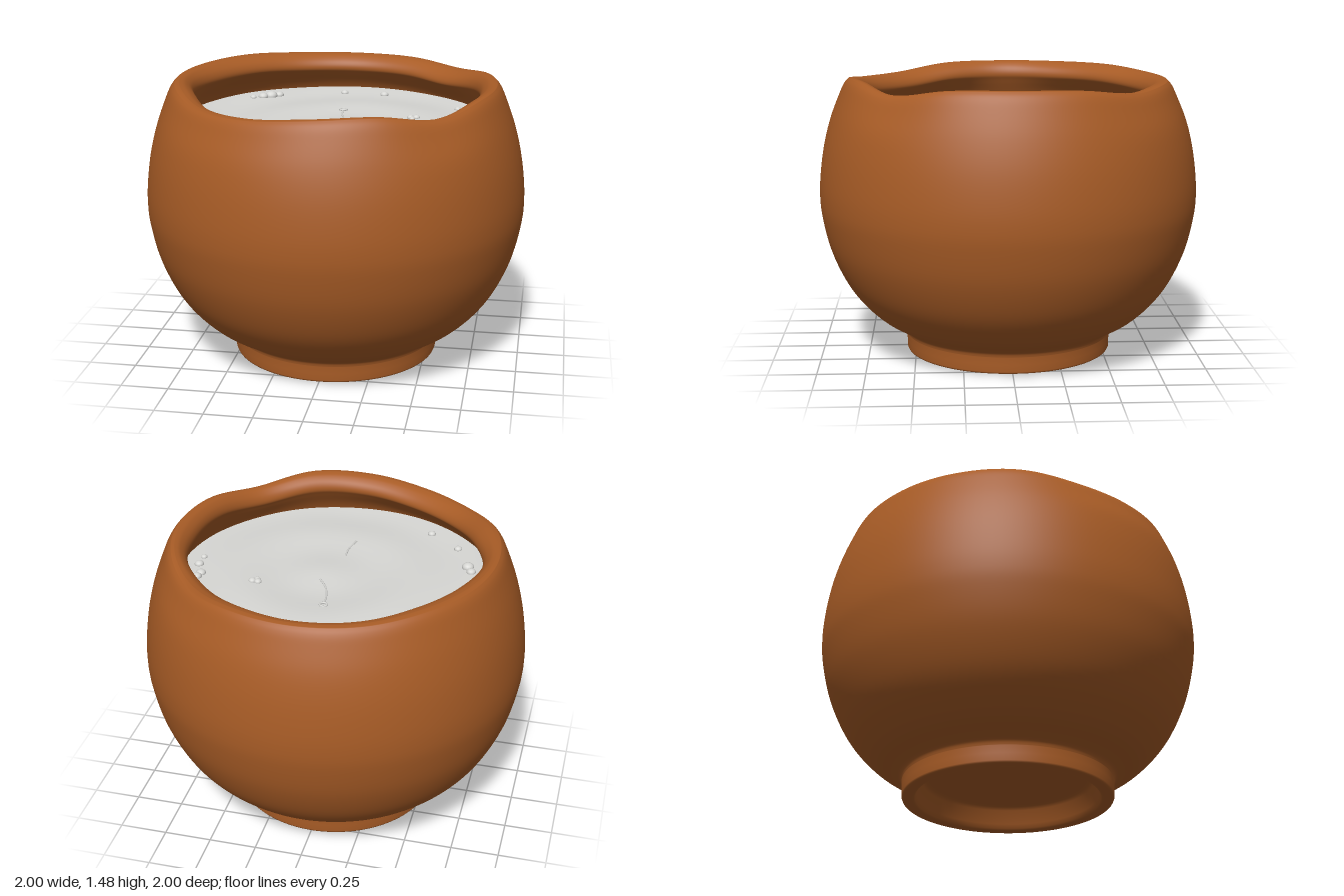
import * as THREE from 'three';
import { mergeVertices } from 'three/addons/utils/BufferGeometryUtils.js';

const LIQUID_Y = 1.26;

// Rim height and mouth radius at 16 directions, from +x turning towards +z
const RIM_HEIGHT = [1.49, 1.485, 1.445, 1.487, 1.477, 1.452, 1.45, 1.485, 1.49, 1.49, 1.488, 1.472, 1.467, 1.465, 1.45, 1.483];
const MOUTH_RADIUS = [0.75, 0.76, 0.762, 0.745, 0.735, 0.728, 0.728, 0.727, 0.755, 0.728, 0.72, 0.73, 0.735, 0.725, 0.72, 0.757];

// Smooth closed interpolation of a table by angle
function around(table, angle) {
  const n = table.length;
  const t = ((angle / (2 * Math.PI)) * n + n) % n;
  const i = Math.floor(t), f = t - i;
  const p = (k) => table[(i + k + n) % n];
  const a = p(-1), b = p(0), c = p(1), d = p(2);
  return b + 0.5 * f * (c - a + f * (2 * a - 5 * b + 4 * c - d + f * (3 * (b - c) + d - a)));
}

const points = (list) => list.map(([x, y]) => new THREE.Vector2(x, y));
const spline = (list, n) => new THREE.SplineCurve(points(list)).getPoints(n);

// Lathe, then move its vertices by a rule and weld the seam
function turned(profile, segments, rule) {
  const geo = new THREE.LatheGeometry(profile, segments);
  const pos = geo.attributes.position;
  const v = new THREE.Vector3();
  for (let i = 0; i < pos.count; i++) {
    v.fromBufferAttribute(pos, i);
    rule(v);
    pos.setXYZ(i, v.x, v.y, v.z);
  }
  geo.deleteAttribute('uv');
  geo.deleteAttribute('normal');
  const welded = mergeVertices(geo, 1e-5);
  welded.computeVertexNormals();
  return welded;
}

// Thick-walled pot with hollow foot and uneven rim
function potGeometry() {
  const foot = points([
    [0, 0.13], [0.2, 0.13], [0.41, 0.13], [0.43, 0.125], [0.445, 0.11], [0.47, 0.04], [0.478, 0.018],
    [0.487, 0.01], [0.5, 0.01], [0.535, 0.01], [0.545, 0.013], [0.549, 0.022], [0.549, 0.06],
  ]);
  const outside = spline([
    [0.551, 0.1], [0.562, 0.125], [0.6, 0.15], [0.7, 0.21], [0.8, 0.305], [0.88, 0.42], [0.95, 0.58], [0.99, 0.75],
    [1, 0.87], [0.992, 1.0], [0.97, 1.14], [0.933, 1.28], [0.885, 1.41], [0.86, 1.463], [0.838, 1.488],
  ], 80);
  const inside = spline([
    [0.82, 1.49], [0.79, 1.48], [0.76, 1.45], [0.75, 1.41], [0.77, 1.37], [0.83, 1.26], [0.88, 1.1], [0.9, 0.9],
    [0.86, 0.65], [0.72, 0.4], [0.45, 0.26], [0, 0.23],
  ], 60);
  let n = 0;
  const split = foot.length + outside.length;
  const profile = [...foot, ...outside, ...inside];
  return turned(profile, 128, (v) => {
    const isInner = n++ % profile.length >= split;
    const angle = Math.atan2(v.z, v.x);
    const k = THREE.MathUtils.smoothstep(v.y, 1.2, 1.47);
    if (isInner) {
      const r = Math.hypot(v.x, v.z);
      const s = 1 + (THREE.MathUtils.smoothstep(v.y, 1.25, 1.4) * (around(MOUTH_RADIUS, angle) - 0.75)
        * THREE.MathUtils.clamp((0.84 - r) / 0.09, 0, 1)) / Math.max(r, 0.01);
      v.x *= s;
      v.z *= s;
    }
    v.y += k * (around(RIM_HEIGHT, angle) - 1.49);
  });
}

// Height of the gently rippled liquid
const ripple = (x, z) => LIQUID_Y + 0.005 * Math.cos(Math.hypot(x - 0.08, z - 0.05) * 14)
  + 0.002 * Math.sin(x * 9 + 1) * Math.sin(z * 7);

function liquidGeometry() {
  const profile = [];
  for (let i = 40; i >= 0; i--) profile.push(new THREE.Vector2((0.85 * i) / 40, LIQUID_Y));
  return turned(profile, 96, (v) => { v.y = ripple(v.x, v.z); });
}

export function createModel() {
  const model = new THREE.Group();
  const clay = new THREE.MeshStandardMaterial({ color: 0xa85c26 });
  clay.name = 'brown clay';
  const milk = new THREE.MeshStandardMaterial({ color: 0xd6d6d3 });
  milk.name = 'pale liquid';

  const add = (name, geo, mat, parent = model) => {
    const mesh = new THREE.Mesh(geo, mat);
    mesh.name = name;
    parent.add(mesh);
    return mesh;
  };

  add('pot', potGeometry(), clay);
  add('liquid', liquidGeometry(), milk);

  // Bubbles: x, z, radius
  const bubbles = new THREE.Group();
  bubbles.name = 'bubbles';
  model.add(bubbles);
  const ball = new THREE.SphereGeometry(1, 16, 10);
  [
    [-0.46, -0.53, 0.035], [-0.5, -0.5, 0.028], [-0.42, -0.56, 0.026], [-0.55, -0.47, 0.018],
    [-0.73, 0, 0.032], [-0.715, 0.06, 0.035], [-0.73, 0.1, 0.022], [-0.67, 0.23, 0.025], [-0.645, 0.28, 0.032],
    [-0.56, 0.47, 0.022], [-0.39, 0.61, 0.022], [0.38, -0.14, 0.02], [0.41, -0.14, 0.02], [0.39, -0.115, 0.016],
    [0.71, -0.15, 0.027], [0.7, -0.11, 0.026], [0.74, -0.02, 0.025], [0.74, 0.06, 0.018],
    [0.61, -0.4, 0.018], [-0.06, -0.68, 0.022], [0.17, -0.67, 0.024],
  ].forEach(([x, z, r]) => {
    const b = add('bubble', ball, milk, bubbles);
    b.position.set(x, ripple(x, z) + 0.1 * r, z);
    b.scale.set(r, r * 0.75, r);
  });

  // Thin swirls on the liquid
  [
    [[-0.005, -0.26], [0.005, -0.18], [0.03, -0.1], [0.075, -0.035]],
    [[0.01, 0.25], [0.012, 0.33], [-0.01, 0.42]],
  ].forEach((path) => {
    const curve = new THREE.CatmullRomCurve3(path.map(([x, z]) => new THREE.Vector3(x, ripple(x, z) + 0.001, z)));
    add('swirl', new THREE.TubeGeometry(curve, 24, 0.005, 6), milk);
  });
  const ring = add('foamRing', new THREE.TorusGeometry(0.018, 0.006, 8, 20), milk);
  ring.rotation.x = Math.PI / 2;
  ring.position.set(-0.005, ripple(-0.005, -0.28) + 0.002, -0.28);

  return model;
}
